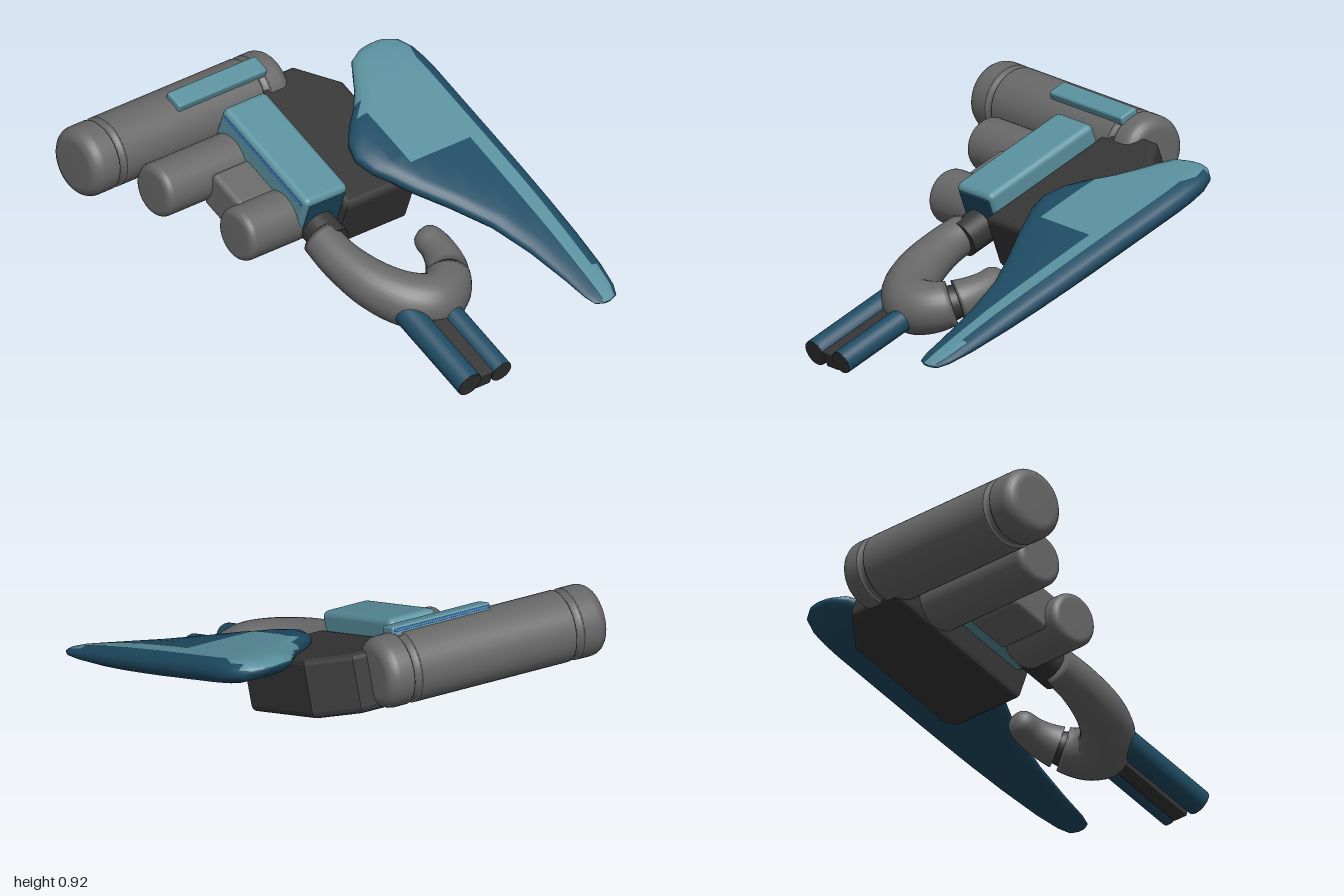
import * as THREE from 'three';
import { mergeVertices } from 'three/addons/utils/BufferGeometryUtils.js';
import { RoundedBoxGeometry } from 'three/addons/geometries/RoundedBoxGeometry.js';

const material = (name, color) => {
  const m = new THREE.MeshStandardMaterial({ color });
  m.name = name;
  return m;
};

// Skin over closed rings of points, with end caps; pick(point) chooses the material index.
function loft(rings, pick = () => 0) {
  const n = rings[0].length;
  const points = rings.flat();
  const faces = [[], []];
  const add = (a, b, c) => {
    const mid = points[a].clone().add(points[b]).add(points[c]).divideScalar(3);
    faces[pick(mid)].push(a, b, c);
  };
  for (let i = 0; i < rings.length - 1; i++) {
    for (let j = 0; j < n; j++) {
      const k = (j + 1) % n;
      const a = i * n + j, b = a + n, c = i * n + k, d = c + n;
      add(a, b, c);
      add(c, b, d);
    }
  }
  const last = (rings.length - 1) * n;
  for (let j = 1; j < n - 1; j++) {
    add(0, j, j + 1);
    add(last, last + j + 1, last + j);
  }
  let geo = new THREE.BufferGeometry().setFromPoints(points);
  geo.setIndex(faces.flat());
  geo = mergeVertices(geo, 1e-5);
  geo.clearGroups();
  geo.addGroup(0, faces[0].length, 0);
  geo.addGroup(faces[0].length, faces[1].length, 1);
  geo.computeVertexNormals();
  return geo;
}

export function createModel() {
  const gray = material('metal gray', 0x686868);
  const dark = material('dark gray', 0x363636);
  const teal = material('light teal', 0x5a909e);
  const navy = material('dark teal', 0x1f4c64);
  const blue = material('bright blue', 0x4080c4);

  const model = new THREE.Group();
  model.name = 'model';
  const tilted = new THREE.Group();
  tilted.name = 'tiltedAssembly';
  tilted.rotation.x = THREE.MathUtils.degToRad(20);
  model.add(tilted);

  const put = (name, geo, mat, x = 0, y = 0, z = 0) => {
    const mesh = new THREE.Mesh(geo, mat);
    mesh.name = name;
    mesh.position.set(x, y, z);
    tilted.add(mesh);
    return mesh;
  };
  // Rounded box given by its extents
  const block = (name, mat, x0, x1, y0, y1, z0, z1, r) =>
    put(name, new RoundedBoxGeometry(x1 - x0, y1 - y0, z1 - z0, 3, r), mat,
      (x0 + x1) / 2, (y0 + y1) / 2, (z0 + z1) / 2);

  // Sideways cylinder with rounded ends and optional grooves
  const pod = (name, x0, x1, r, y, z, round, grooves = []) => {
    const pts = [new THREE.Vector2(0, x0)];
    const corner = (x, dir) => {
      const arc = [];
      for (let i = 0; i <= 5; i++) {
        const a = (i / 5) * Math.PI / 2;
        arc.push(new THREE.Vector2(r - round + round * Math.sin(a), x + dir * round * (1 - Math.cos(a))));
      }
      return arc;
    };
    pts.push(...corner(x0, 1));
    for (const g of grooves) {
      for (const [dx, dr] of [[-0.024, 0], [-0.02, 0], [-0.018, 0.018], [0.018, 0.018], [0.02, 0], [0.024, 0]]) {
        pts.push(new THREE.Vector2(r - dr, g + dx));
      }
    }
    pts.push(...corner(x1, -1).reverse(), new THREE.Vector2(0, x1));
    put(name, new THREE.LatheGeometry(pts, 40), gray, 0, y, z).rotation.z = -Math.PI / 2;
  };
  pod('rearTank', -0.91, 0.255, 0.17, 0.407, -1.031, 0.06, [-0.75, 0.11]);
  pod('middleTank', -0.655, 0.1, 0.13, 0.383, -0.746, 0.035);
  pod('frontTank', -0.475, -0.1, 0.13, 0.395, -0.346, 0.035);
  block('tankSpacer', gray, -0.405, -0.1, 0.29, 0.485, -0.65, -0.43, 0.025);

  // Main body with clipped outer corners
  const outline = new THREE.Shape([
    [0.03, 0.18], [0.44, 0.18], [0.49, 0.23], [0.49, 0.82], [0.33, 1.0], [0.03, 1.0],
  ].map(([x, y]) => new THREE.Vector2(x, y)));
  const bodyGeo = new THREE.ExtrudeGeometry(outline, {
    depth: 0.225, bevelThickness: 0.03, bevelSize: 0.03, bevelOffset: -0.03, bevelSegments: 3,
  });
  bodyGeo.rotateX(-Math.PI / 2);
  put('body', bodyGeo, dark, 0, 0.265, 0);

  // Top housing with front panel and bright edge trim
  block('housing', teal, -0.203, 0.05, 0.37, 0.61, -0.88, -0.22, 0.03);
  block('housingFrontPanel', navy, -0.18, 0.03, 0.39, 0.58, -0.225, -0.216, 0.004);
  block('housingSideTrim', blue, -0.206, -0.199, 0.56, 0.58, -0.85, -0.25, 0.003);
  block('housingRearTrim', blue, -0.17, 0.02, 0.56, 0.58, -0.883, -0.876, 0.003);

  // Plate on the rear tank
  block('tankPlate', teal, -0.38, 0.14, 0.555, 0.605, -1.075, -0.975, 0.012);
  block('tankPlateTrim', blue, -0.37, 0.13, 0.58, 0.593, -1.078, -1.071, 0.003);

  // Curved hook arm: centre line (x, z) with radius
  const path = [
    [-0.125, -0.15, 0.09], [-0.12, 0.01, 0.098], [-0.07, 0.2, 0.115], [0.02, 0.34, 0.128],
    [0.12, 0.4, 0.132], [0.22, 0.37, 0.122], [0.3, 0.277, 0.1], [0.34, 0.149, 0.078], [0.33, 0.03, 0.066],
  ];
  const line = new THREE.CatmullRomCurve3(path.map(([x, z]) => new THREE.Vector3(x, 0.41, z)));
  const size = new THREE.CatmullRomCurve3(path.map(([, , r], i) => new THREE.Vector3(r, i, 0)));
  const up = new THREE.Vector3(0, 1, 0);
  const tube = (name, mat, t0, t1, shrink, steps, roundEnd) => {
    const rings = [];
    for (let i = 0; i <= steps; i++) {
      const t = t0 + (t1 - t0) * i / steps;
      const left = (steps - i) / steps;
      const tip = roundEnd && left < 0.25 ? 0.35 + 0.65 * Math.sqrt(1 - (1 - left / 0.25) ** 2) : 1;
      const r = (size.getPoint(t).x - shrink) * tip;
      const p = line.getPoint(t);
      const side = new THREE.Vector3().crossVectors(up, line.getTangent(t)).normalize();
      rings.push(Array.from({ length: 28 }, (_, j) => {
        const a = j / 28 * Math.PI * 2;
        return p.clone().addScaledVector(side, r * Math.cos(a)).addScaledVector(up, -r * Math.sin(a));
      }));
    }
    put(name, loft(rings), [mat, mat]);
  };
  tube('arm', gray, 0, 0.72, 0, 36, false);
  tube('hookGroove', dark, 0.7, 0.77, 0.022, 4, false);
  tube('hookTip', gray, 0.75, 1, 0, 20, true);
  put('armCollar', new THREE.CylinderGeometry(0.088, 0.088, 0.17, 32), dark, -0.09, 0.41, -0.18).rotation.x = Math.PI / 2;

  // Twin barrels with dark ends, and the rail between them
  for (const [side, x, r] of [['right', -0.03, 0.064], ['left', 0.155, 0.056]]) {
    put(side + 'Barrel', new THREE.CylinderGeometry(r, r, 0.5, 32), navy, x, 0.406, 0.642).rotation.x = Math.PI / 2;
    put(side + 'Muzzle', new THREE.CylinderGeometry(r * 0.98, r * 0.98, 0.006, 32), dark, x, 0.406, 0.893).rotation.x = Math.PI / 2;
  }
  block('barrelRail', dark, 0.025, 0.11, 0.345, 0.43, 0.4, 0.89, 0.008);

  // Wing sections: z, inner x, outer x, half thickness
  const sections = [
    [-0.93, 0.7, 0.76, 0.01], [-0.92, 0.65, 0.8, 0.025], [-0.88, 0.575, 0.86, 0.045],
    [-0.81, 0.53, 0.89, 0.055], [-0.73, 0.48, 0.9, 0.06], [-0.645, 0.41, 0.905, 0.06],
    [-0.56, 0.32, 0.905, 0.06], [-0.475, 0.25, 0.905, 0.06], [-0.38, 0.22, 0.905, 0.06],
    [-0.28, 0.25, 0.905, 0.06], [-0.22, 0.29, 0.905, 0.06], [-0.11, 0.35, 0.905, 0.06],
    [0.04, 0.45, 0.905, 0.058], [0.23, 0.56, 0.903, 0.055], [0.44, 0.63, 0.897, 0.048],
    [0.655, 0.675, 0.885, 0.035], [0.78, 0.695, 0.865, 0.025], [0.835, 0.715, 0.84, 0.018],
    [0.85, 0.75, 0.8, 0.01],
  ];
  const wingRings = sections.map(([z, x0, x1, h]) => {
    const inset = Math.min(0.07, (x1 - x0) * 0.3);
    const edge = [0, 0.06, 0.2, 0.5, 1].map((k) => k * inset);
    const inner = [0.34, 0.41, 0.5, 0.6, 0.68, 0.76, 0.83]
      .map((x) => THREE.MathUtils.clamp(x, x0 + inset, x1 - inset));
    const xs = [...edge.map((e) => x0 + e), ...inner, ...edge.map((e) => x1 - e).reverse()];
    const rise = (x) => {
      const d = Math.min(1, Math.min((x - x0) / 0.14, (x1 - x) / 0.08));
      return h * Math.sqrt(Math.max(0, 1 - (1 - d) ** 2));
    };
    const top = xs.map((x) => new THREE.Vector3(x, 0.54 + rise(x), z));
    const bottom = xs.slice(1, -1).reverse().map((x) => new THREE.Vector3(x, 0.54 - rise(x), z));
    return [...top, ...bottom];
  });
  // Light paint on the rear of the top face and a stripe to the tip
  const paint = (p) => {
    const stripe = p.x > 0.758 && p.x < 0.836;
    const rear = p.z < -0.22 && p.x > 0.408 && p.x < 0.836;
    return p.y > 0.545 && (stripe || rear) ? 1 : 0;
  };
  put('wing', loft(wingRings, paint), [navy, teal]);

  return model;
}
